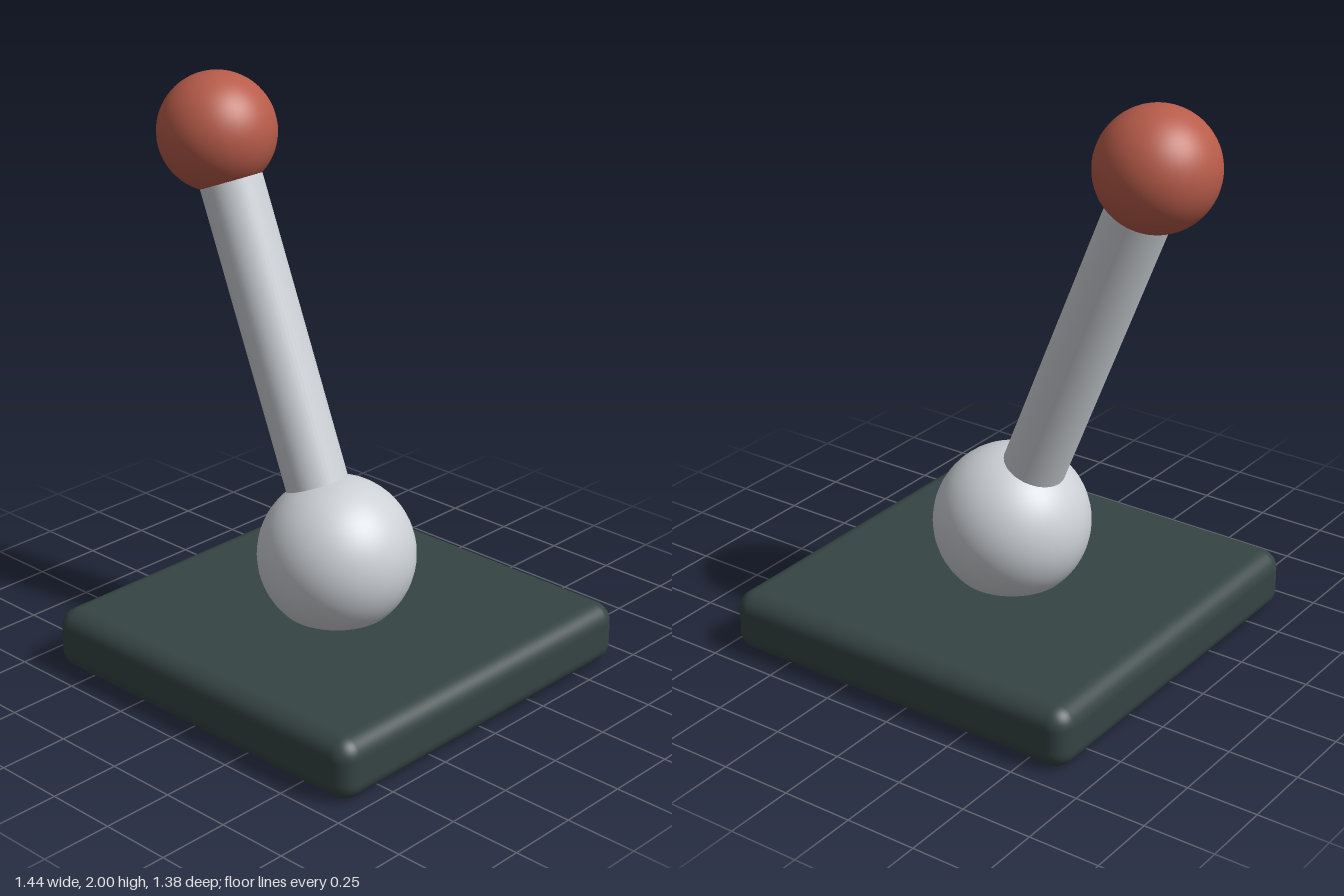
import * as THREE from 'three';
import { RoundedBoxGeometry } from 'three/addons/geometries/RoundedBoxGeometry.js';

function material(name, color) {
  const m = new THREE.MeshStandardMaterial({ color });
  m.name = name;
  return m;
}

export function createModel() {
  const group = new THREE.Group();
  group.name = 'joystick';

  const slate = material('dark slate', 0x364444);
  const grey = material('light grey', 0xcdd1d6);
  const red = material('brick red', 0xb85c4a);

  const add = (name, geometry, mat, position) => {
    const mesh = new THREE.Mesh(geometry, mat);
    mesh.name = name;
    mesh.position.copy(position);
    group.add(mesh);
    return mesh;
  };

  const pivot = new THREE.Vector3(0.033, 0.417, 0);
  const tip = new THREE.Vector3(-0.52, 1.796, 0);

  // Rounded slab base
  add('base', new RoundedBoxGeometry(1.376, 0.218, 1.376, 6, 0.068), slate,
    new THREE.Vector3(0.033, 0.109, 0));

  // Ball joint sunk into the base
  add('ballJoint', new THREE.SphereGeometry(0.273, 48, 32), grey, pivot);

  // Leaning shaft from the joint to the knob
  const axis = tip.clone().sub(pivot);
  const shaft = add('shaft', new THREE.CylinderGeometry(0.109, 0.109, axis.length(), 48), grey,
    pivot.clone().lerp(tip, 0.5));
  shaft.quaternion.setFromUnitVectors(new THREE.Vector3(0, 1, 0), axis.clone().normalize());

  // Knob
  add('knob', new THREE.SphereGeometry(0.204, 48, 32), red, tip);

  return group;
}
